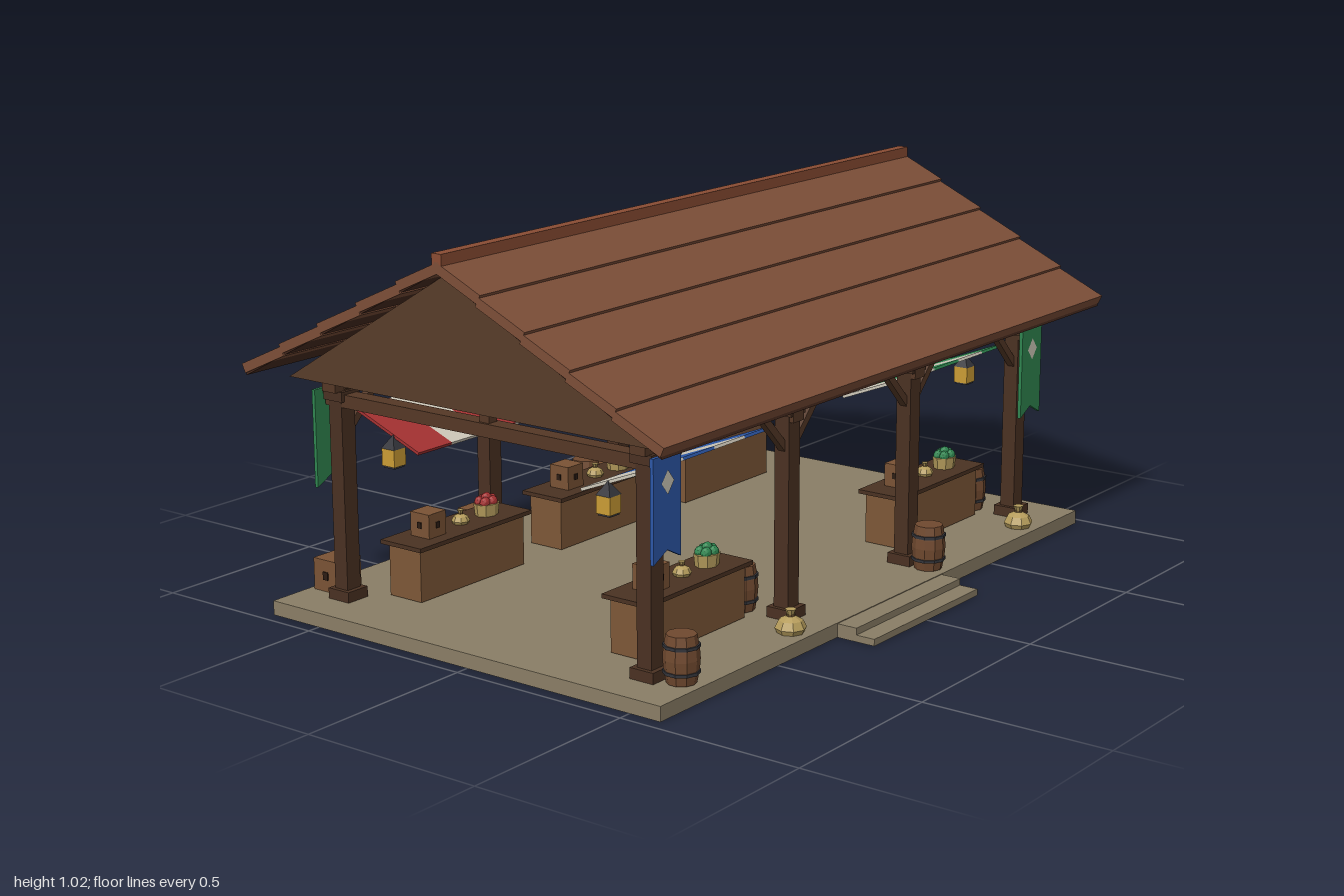
import * as THREE from 'three';

const C = {
  post: 0x4a3122, beam: 0x553826, roof: 0x7c4e38, deck: 0x4a2c20, ridge: 0x8a4c33, gable: 0x583c29, stone: 0x8a7e66,
  counter: 0x7d5838, counterTop: 0x4a3222, crate: 0x7a5335, barrel: 0x70492f, hoop: 0x33343a,
  blue: 0x2d58a8, green: 0x2f8650, red: 0xa53232, cream: 0xcfc9ba, sack: 0xb59c5c, tie: 0x6b5230,
  glass: 0xcb9c35, iron: 0x33343a, dark: 0x2c1d14,
};
const CZ = -0.035;                       // ridge line
const POSTS = [-0.83, -0.277, 0.277, 0.83];
const BAYS = [-0.555, 0, 0.555];

const mats = {};
function mat(color, thin) {
  const key = color + (thin ? 't' : '');
  return mats[key] ??= new THREE.MeshStandardMaterial({
    color, flatShading: true, side: thin ? THREE.DoubleSide : THREE.FrontSide,
  });
}
function add(parent, name, geo, color, x = 0, y = 0, z = 0, thin = false) {
  const m = new THREE.Mesh(geo, mat(color, thin));
  m.name = name;
  m.position.set(x, y, z);
  parent.add(m);
  return m;
}
const box = (p, name, w, h, d, color, x, y, z) => add(p, name, new THREE.BoxGeometry(w, h, d), color, x, y, z);
const shape = pts => new THREE.Shape(pts.map(([u, v]) => new THREE.Vector2(u, v)));
function group(parent, name, x = 0, y = 0, z = 0) {
  const g = new THREE.Group();
  g.name = name;
  g.position.set(x, y, z);
  parent.add(g);
  return g;
}
// outline extruded evenly to both sides of its plane
function slab(pts, depth) {
  return new THREE.ExtrudeGeometry(shape(pts), { depth, bevelEnabled: false }).translate(0, 0, -depth / 2);
}
// square timber between two points
function timber(p, name, a, b, t, color) {
  const va = new THREE.Vector3(...a), vb = new THREE.Vector3(...b);
  const m = box(p, name, t, t, va.distanceTo(vb), color, 0, 0, 0);
  m.position.copy(va).lerp(vb, 0.5);
  m.lookAt(vb);
}
function lathe(points, sides) {
  return new THREE.LatheGeometry(points.map(([r, y]) => new THREE.Vector2(r, y)), sides);
}

function barrel(p, x, z) {
  const g = group(p, 'barrel', x, 0.04, z);
  add(g, 'barrelBody', lathe([[0, 0], [0.037, 0], [0.043, 0.035], [0.045, 0.06], [0.043, 0.085], [0.037, 0.12], [0, 0.12]], 10), C.barrel);
  for (const y of [0.028, 0.092])
    add(g, 'barrelHoop', new THREE.CylinderGeometry(0.0455, 0.0455, 0.008, 10), C.hoop, 0, y, 0);
}
function crate(p, s, x, y, z) {
  const g = group(p, 'crate', x, y, z);
  box(g, 'crateBody', s, s, s, C.crate, 0, s / 2, 0);
  for (const k of [-1, 1]) {
    box(g, 'crateHandle', s * 0.2, s * 0.25, 0.006, C.dark, 0, s * 0.5, k * s * 0.5);
    box(g, 'crateHandle', 0.006, s * 0.25, s * 0.2, C.dark, k * s * 0.5, s * 0.5, 0);
  }
}
function sack(p, s, x, y, z) {
  const g = group(p, 'sack', x, y, z);
  g.scale.setScalar(s);
  add(g, 'sackBody', lathe([[0, 0], [0.8, 0], [0.95, 0.3], [0.72, 0.75], [0.25, 1], [0.2, 1.05], [0.34, 1.4], [0, 1.35]], 8), C.sack);
  add(g, 'sackTie', new THREE.CylinderGeometry(0.27, 0.27, 0.12, 8), C.tie, 0, 1.04, 0);
}
function produceBasket(p, color, x, y, z) {
  const g = group(p, 'produceBasket', x, y, z);
  g.scale.z = 0.82;
  add(g, 'basket', new THREE.CylinderGeometry(0.038, 0.034, 0.032, 8), C.sack, 0, 0.016, 0);
  for (let i = 0; i < 5; i++) {
    const a = i * Math.PI * 2 / 5;
    add(g, 'produce', new THREE.IcosahedronGeometry(0.016, 1), color, 0.02 * Math.cos(a), 0.036, 0.02 * Math.sin(a));
  }
  add(g, 'produce', new THREE.IcosahedronGeometry(0.017, 1), color, 0, 0.043, 0);
}
function counter(p, color, x, z) {
  const g = group(p, 'counter', x, 0, z);
  box(g, 'counterBody', 0.4, 0.14, 0.107, C.counter, 0, 0.11, 0);
  box(g, 'counterTop', 0.43, 0.011, 0.138, C.counterTop, 0, 0.184, 0);
  crate(g, 0.064, -0.11, 0.19, 0);
  sack(g, 0.026, 0.013, 0.19, 0);
  produceBasket(g, color, 0.115, 0.19, 0);
}
function lantern(p, x, z) {
  const g = group(p, 'lantern', x, 0.403, z);
  box(g, 'lanternBase', 0.036, 0.006, 0.036, C.iron, 0, 0.003, 0);
  box(g, 'lanternGlass', 0.042, 0.046, 0.042, C.glass, 0, 0.028, 0);
  add(g, 'lanternCap', new THREE.ConeGeometry(0.031, 0.034, 4).rotateY(Math.PI / 4), C.iron, 0, 0.067, 0);
}
function banner(p, color, x, z, s) {
  const g = group(p, 'banner', x, 0, z);
  const cloth = [[-0.052, 0.59], [-0.052, 0.335], [0, 0.362], [0.052, 0.335], [0.052, 0.59]];
  add(g, 'bannerCloth', slab(cloth, 0.01), color);
  const diamond = shape([[0, 0.555], [-0.024, 0.525], [0, 0.495], [0.024, 0.525]]);
  add(g, 'bannerDiamond', new THREE.ShapeGeometry(diamond), C.cream, 0, 0, s * 0.007, true);
}
// striped cloth sloping down towards the middle of the hall
function awning(p, color, x, s) {
  const g = group(p, 'awning', x, 0.492, CZ + s * 0.367);
  g.rotation.x = -s * Math.atan2(0.083, 0.21);
  for (let i = 0; i < 4; i++) {
    const plain = (i % 2 === 0) === (s > 0);
    box(g, 'awningStripe', 0.1225, 0.008, 0.228, plain ? C.cream : color, (i - 1.5) * 0.1225, 0, 0);
  }
}

function buildBase(p) {
  box(p, 'platform', 1.93, 0.038, 1.25, C.stone, 0, 0.019, CZ);
  box(p, 'upperStep', 0.49, 0.036, 0.062, C.stone, 0, 0.018, 0.616);
  box(p, 'lowerStep', 0.49, 0.018, 0.062, C.stone, 0, 0.009, 0.669);
}

function buildFrame(p) {
  for (const s of [-1, 1]) {
    const z = CZ + s * 0.491;
    box(p, 'topPlate', 1.75, 0.043, 0.045, C.beam, 0, 0.6105, z);
    for (const x of POSTS) {
      box(p, 'post', 0.047, 0.55, 0.043, C.post, x, 0.313, z);
      box(p, 'postBase', 0.07, 0.028, 0.07, C.post, x, 0.052, z);
      box(p, 'postCap', 0.064, 0.026, 0.064, C.post, x, 0.577, z);
      for (const k of [-1, 1])
        if (Math.abs(x + k * 0.1) < 0.83)
          timber(p, 'brace', [x + k * 0.015, 0.478, z], [x + k * 0.13, 0.595, z], 0.02, C.beam);
    }
  }
  // roof trusses
  for (const x of POSTS) {
    box(p, 'tieBeam', 0.045, 0.034, 1.05, C.beam, x, 0.565, CZ);
    box(p, 'kingPost', 0.03, 0.36, 0.03, C.beam, x, 0.76, CZ);
    for (const s of [-1, 1])
      timber(p, 'rafter', [x, 0.595, CZ + s * 0.49], [x, 0.9, CZ], 0.026, C.beam);
  }
}

function buildRoof(p) {
  const a = THREE.MathUtils.degToRad(24.5), L = 0.152, T = 0.025;
  // profiles run (distance from ridge, height)
  const deck = [[0, 0.974], [0.655, 0.633], [0.655, 0.645], [0, 0.986]];
  const gable = [[-0.583, 0.625], [0.583, 0.625], [0, 0.98]];
  for (const s of [-1, 1]) {
    const turn = -s * Math.PI / 2;
    add(p, 'roofDeck', slab(deck, 1.99).rotateY(turn), C.deck, 0, 0, CZ);
    add(p, 'gable', slab(gable, 0.036).rotateY(turn), C.gable, s * 0.9, 0, CZ);
    // overlapping courses, placed by their lower top edge
    for (let k = 1; k <= 5; k++) {
      const d = 0.133 * k - (L * Math.cos(a) + T * Math.sin(a)) / 2;
      const y = 1.007 - 0.069 * k + (L * Math.sin(a) - T * Math.cos(a)) / 2;
      box(p, 'roofCourse', 2, T, L, C.roof, 0, y, CZ + s * d).rotation.x = s * a;
    }
  }
  box(p, 'ridgeCap', 2, 0.034, 0.03, C.ridge, 0, 1.003, CZ);
}

export function createModel() {
  const root = new THREE.Group();
  root.name = 'marketHall';
  buildBase(group(root, 'base'));
  buildFrame(group(root, 'frame'));
  buildRoof(group(root, 'roof'));

  // stalls: two at the front beside the entrance, three at the back
  const stalls = group(root, 'stalls');
  BAYS.forEach((x, i) => {
    counter(stalls, C.red, x, -0.395);
    awning(stalls, [C.red, C.blue, C.green][i], x, -1);
    crate(stalls, 0.085, x - 0.235, 0.038, -0.602);
    if (x === 0) return;
    counter(stalls, C.green, x, 0.33);
    awning(stalls, x < 0 ? C.blue : C.green, x, 1);
    barrel(stalls, x + 0.25, 0.335);
  });

  // loose goods
  const goods = group(root, 'goods');
  for (const [x, z] of [[-0.813, 0.535], [0.265, 0.535], [0.22, -0.6], [0.8, -0.6]]) barrel(goods, x, z);
  for (const x of [-0.37, 0.735]) sack(goods, 0.043, x, 0.038, 0.535);

  // corner banners and lanterns
  for (const sx of [-1, 1])
    for (const sz of [-1, 1]) {
      banner(root, sx * sz > 0 ? C.green : C.blue, sx * 0.83, CZ + sz * 0.538, sz);
      lantern(root, sx * 0.8, CZ + sz * 0.345);
    }
  return root;
}
